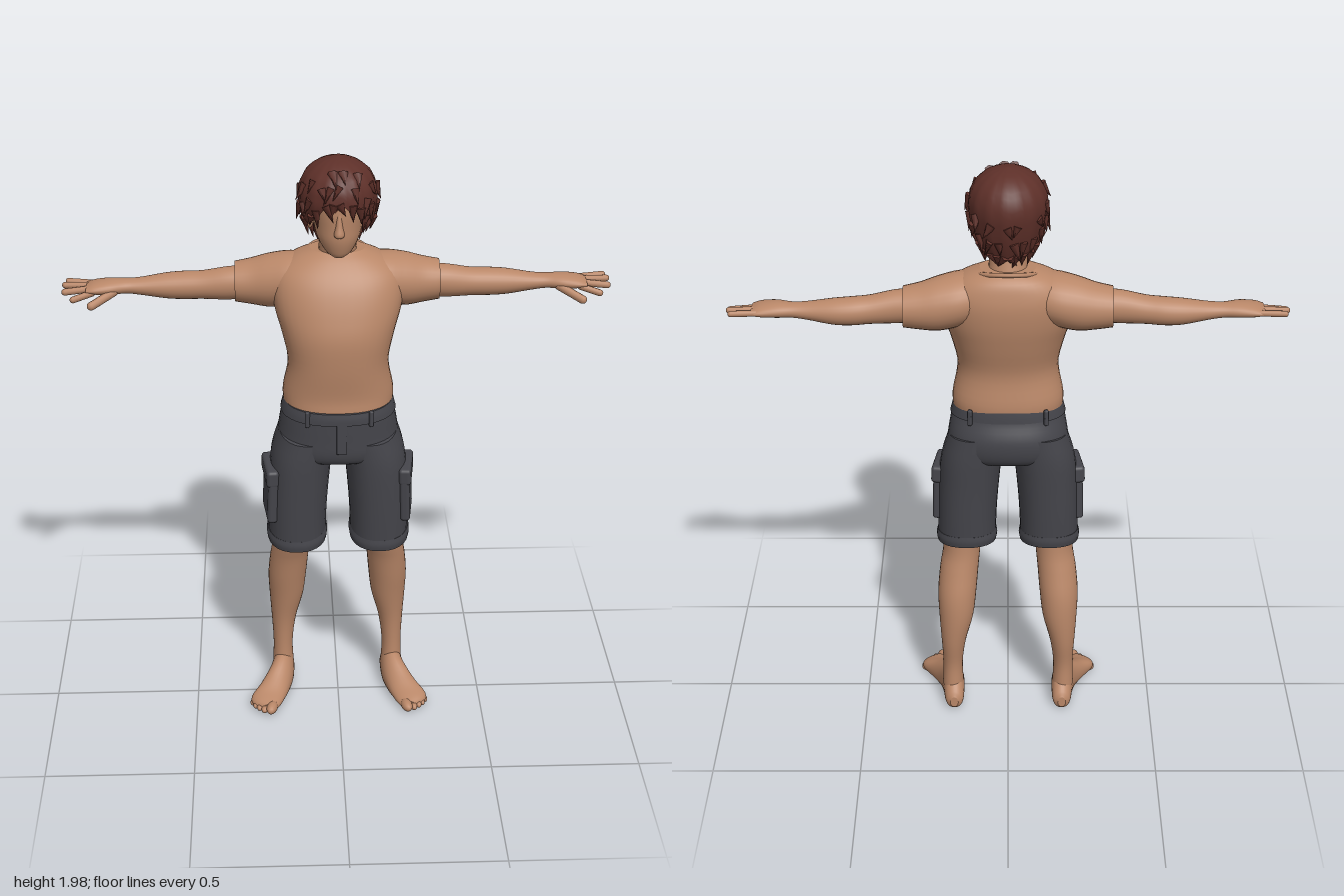
import * as THREE from 'three';
import { RoundedBoxGeometry } from 'three/addons/geometries/RoundedBoxGeometry.js';

const mat = (name, color) => {
  const m = new THREE.MeshStandardMaterial({ color, side: THREE.DoubleSide });
  m.name = name;
  return m;
};

// Smooth body through elliptic rings [t, a, b, ra, rb] along an axis:
// y: a=x b=z, x: a=y b=z, z: a=x b=y. Always wound outward.
const ORDER = { y: [1, 0, 2], x: [0, 1, 2], z: [2, 0, 1] };
function loft(rings, axis = 'y', { s = 1, n = 28, steps = 4, power = 1, bend = null } = {}) {
  const mid = new THREE.CatmullRomCurve3(rings.map(r => new THREE.Vector3(r[0], r[1], r[2])), false, 'catmullrom');
  const rad = new THREE.CatmullRomCurve3(rings.map(r => new THREE.Vector3(r[3], r[4], 0)), false, 'catmullrom');
  const o = ORDER[axis], pts = [], idx = [], m = (rings.length - 1) * steps;
  const sp = v => Math.sign(v) * Math.abs(v) ** power;
  const add = (t, a, b) => {
    const p = new THREE.Vector3();
    [t, a, b].forEach((v, k) => p.setComponent(o[k], v));
    if (bend) bend(p);
    p.x *= s;
    pts.push(p);
  };
  const ring = u => {
    const c = mid.getPoint(u), r = rad.getPoint(u);
    for (let j = 0; j < n; j++) {
      const q = j / n * Math.PI * 2;
      add(c.x, c.y + r.x * sp(Math.cos(q)), c.z + r.y * sp(Math.sin(q)));
    }
  };
  for (let i = 0; i <= m; i++) ring(i / m);
  for (let i = 0; i < m; i++) for (let j = 0; j < n; j++) {
    const a = i * n + j, b = i * n + (j + 1) % n;
    idx.push(a, b, a + n, b, b + n, a + n);
  }
  // Flat end caps
  for (const u of [0, 1]) {
    const base = pts.length, c = mid.getPoint(u);
    ring(u);
    add(c.x, c.y, c.z);
    for (let j = 0; j < n; j++) {
      const a = base + j, b = base + (j + 1) % n;
      idx.push(...(u ? [a, b, base + n] : [b, a, base + n]));
    }
  }
  let vol = 0;
  const x = new THREE.Vector3();
  for (let i = 0; i < idx.length; i += 3)
    vol += pts[idx[i]].dot(x.crossVectors(pts[idx[i + 1]], pts[idx[i + 2]]));
  if (vol < 0) idx.reverse();
  const g = new THREE.BufferGeometry().setFromPoints(pts);
  g.setIndex(idx);
  g.computeVertexNormals();
  return g;
}

const lerpTable = (table, v) => {
  for (let i = 1; i < table.length; i++) if (v <= table[i][0]) {
    const [a, p] = table[i - 1], [b, q] = table[i];
    return p + (q - p) * (v - a) / (b - a);
  }
  return table[table.length - 1][1];
};

export function createModel() {
  const skin = mat('skin', 0xb98768), cloth = mat('charcoal cloth', 0x45454b), hairMat = mat('auburn hair', 0x5e3029);
  const root = new THREE.Group();
  root.name = 'figure';
  const add = (name, geo, m, pos = [0, 0, 0], rot = [0, 0, 0], scale = [1, 1, 1]) => {
    const mesh = new THREE.Mesh(geo, m);
    mesh.name = name;
    mesh.position.set(...pos);
    mesh.rotation.set(...rot);
    mesh.scale.set(...scale);
    root.add(mesh);
    return mesh;
  };
  const ball = new THREE.SphereGeometry(1, 16, 12);

  // Torso, collar and neck
  add('torso', loft([
    [1.15, 0, 0, .182, .133], [1.2, 0, -.002, .183, .133], [1.3, 0, .01, .166, .134], [1.4, 0, 0, .185, .148],
    [1.48, 0, -.018, .208, .148], [1.55, 0, -.034, .215, .138], [1.6, 0, -.045, .2, .12],
    [1.64, 0, -.055, .15, .095], [1.665, 0, -.055, .09, .065]], 'y', { n: 40, power: .88 }), skin);
  const collar = [];
  for (let i = 0; i < 24; i++) {
    const q = i / 24 * Math.PI * 2, f = Math.sin(q);
    collar.push(new THREE.Vector3(.108 * Math.cos(q), 1.637 - .03 * f, -.04 + .092 * f));
  }
  add('collar', new THREE.TubeGeometry(new THREE.CatmullRomCurve3(collar, true), 48, .008, 6, true), skin);
  add('neck', loft([[1.6, 0, -.06, .075, .07], [1.66, 0, -.045, .062, .062], [1.75, 0, -.02, .06, .062]]), skin);

  // Head with nose and ears
  add('head', loft([
    [1.678, 0, .07, .018, .02], [1.695, 0, .058, .042, .042], [1.735, 0, .028, .068, .084], [1.78, 0, .005, .08, .11],
    [1.84, 0, -.005, .09, .122], [1.9, 0, -.01, .092, .118], [1.945, 0, -.01, .068, .085], [1.965, 0, -.01, .02, .03]]), skin);
  add('nose', loft([[1.752, 0, .112, .006, .006], [1.762, 0, .112, .017, .021], [1.79, 0, .11, .012, .016], [1.83, 0, .108, .008, .01]], 'y', { n: 12 }), skin);

  // Hair cap with a hairline that drops from forehead to nape
  const hairline = [[0, 1.855], [.5, 1.845], [.95, 1.79], [1.45, 1.775], [1.75, 1.765], [2.3, 1.715], [3.15, 1.705]];
  const girth = [[1.69, .64], [1.75, .83], [1.8, .93], [1.86, 1], [1.9, .96], [1.935, .82], [1.96, .6], [1.975, .36], [1.983, 0]];
  const hairPoint = (a, y, k = 1) => {
    const r = lerpTable(girth, y) * k;
    return new THREE.Vector3(.127 * r * Math.sin(a), y, -.01 + .143 * r * Math.cos(a));
  };
  const N = 60, M = 16, hp = [], hi = [];
  for (let i = 0; i <= M; i++) for (let j = 0; j < N; j++) {
    const a = j / N * Math.PI * 2, b = Math.min(a, Math.PI * 2 - a);
    const low = lerpTable(hairline, b) + .012 * Math.sin(a * 15);
    hp.push(hairPoint(a, low + (1.983 - low) * Math.sin(i / M * Math.PI / 2), 1 + .012 * Math.sin(a * 15)));
  }
  for (let i = 0; i < M; i++) for (let j = 0; j < N; j++) {
    const a = i * N + j, b = i * N + (j + 1) % N;
    hi.push(a, b, a + N, b, b + N, a + N);
  }
  const cap = new THREE.BufferGeometry().setFromPoints(hp);
  cap.setIndex(hi);
  cap.computeVertexNormals();
  add('hairCap', cap, hairMat);

  // Pointed locks: [count, height above hairline, length, outward lean]
  let seed = 7;
  const rnd = () => (seed = (seed * 16807) % 2147483647) / 2147483647;
  const lockGeo = new THREE.ConeGeometry(1, 1, 6).translate(0, .5, 0);
  const up = new THREE.Vector3(0, 1, 0);
  for (const [count, lift, length, lean] of [[26, .015, .05, .1], [20, .065, .055, .3], [13, .125, .05, .5]])
    for (let i = 0; i < count; i++) {
      const a = (i + rnd() * .6) / count * Math.PI * 2, b = Math.min(a, Math.PI * 2 - a);
      const y = Math.min(lerpTable(hairline, b) + lift, 1.955);
      const p = hairPoint(a, y, .96), q = hairPoint(a + (rnd() - .5) * .5, Math.max(y - .05, 1.69), 1);
      const out = new THREE.Vector3(Math.sin(a), 0, Math.cos(a));
      const dir = q.sub(p).normalize().addScaledVector(out, lean * (.4 + rnd() * .6)).normalize();
      const lock = add('hairLock', lockGeo, hairMat, p.toArray(), [0, 0, 0], [.018, length * (.8 + rnd() * .5), .014]);
      lock.quaternion.setFromUnitVectors(up, dir);
    }

  // Shorts: hips, waistband, fly
  const tilt = k => p => { p.y -= p.z * k; };
  add('shortsHips', loft([
    [1.155, 0, .003, .178, .135], [1.12, 0, 0, .188, .137], [1.06, 0, -.012, .199, .147],
    [1, 0, -.012, .205, .143], [.965, 0, -.01, .19, .12], [.945, 0, -.01, .06, .06]], 'y', { n: 40, power: .88, bend: tilt(.1) }), cloth);
  add('waistband', loft([[1.165, 0, .003, .181, .138], [1.145, 0, .003, .187, .141], [1.125, 0, .002, .192, .142]],
    'y', { n: 40, power: .88, bend: tilt(.1) }), cloth);
  add('fly', new RoundedBoxGeometry(.035, .11, .008, 2, .003), cloth, [.008, 1.06, .136]);

  for (const s of [1, -1]) {
    // Shorts leg, hem cuff, side pocket with flap, belt loops
    add('shortsLeg', loft([
      [1.05, .1, -.01, .098, .135], [.96, .122, -.01, .103, .134], [.85, .133, -.01, .102, .127],
      [.74, .139, -.011, .1, .12], [.64, .141, -.012, .099, .113]], 'y', { s, power: .88, bend: tilt(.17) }), cloth);
    add('shortsHem', loft([[.675, .141, -.012, .1, .116], [.655, .141, -.012, .104, .118], [.635, .141, -.012, .101, .115]],
      'y', { s, power: .88, bend: tilt(.17) }), cloth);
    add('sidePocket', new RoundedBoxGeometry(.034, .19, .145, 3, .012), cloth, [s * .23, .82, .02], [.06, -s * .12, s * .03]);
    add('pocketFlap', new RoundedBoxGeometry(.042, .06, .155, 3, .012), cloth, [s * .23, .895, .02], [.06, -s * .12, s * .03]);
    for (const [x, z] of [[.105, .128], [.125, -.122]])
      add('beltLoop', new RoundedBoxGeometry(.014, .055, .016, 2, .004), cloth, [s * x, 1.143 - z * .1, z], [0, s * Math.sign(z) * .4, 0]);

    // Lower leg
    add('leg', loft([
      [.75, .155, -.02, .07, .08], [.62, .158, -.025, .064, .076], [.54, .168, -.045, .066, .072], [.45, .176, -.066, .066, .073],
      [.36, .18, -.079, .059, .066], [.26, .19, -.085, .043, .053], [.16, .194, -.08, .034, .042], [.07, .194, -.08, .037, .046]], 'y', { s }), skin);

    // Foot, turned outward, with a flat sole
    add('foot', loft([
      [-.152, .19, .03, .014, .02], [-.135, .19, .035, .031, .04], [-.08, .193, .05, .038, .075], [-.02, .203, .045, .044, .07],
      [.04, .228, .03, .053, .048], [.085, .25, .022, .059, .032], [.12, .253, .018, .048, .023], [.145, .245, .016, .024, .016]],
      'z', { s, bend: p => { p.y = Math.max(p.y, .003); } }), skin);
    [[.237, .146, .019], [.261, .142, .013], [.278, .128, .012], [.291, .113, .012], [.302, .094, .011]].forEach(([x, z, r]) =>
      add('toe', ball, skin, [s * x, r, z], [0, s * .25, 0], [r, r, r * 1.75]));

    // Sleeve and arm down to the palm
    add('sleeve', loft([
      [.07, 1.57, -.05, .07, .085], [.15, 1.558, -.06, .087, .102], [.22, 1.546, -.072, .088, .093],
      [.28, 1.54, -.08, .076, .08], [.335, 1.538, -.083, .066, .071]], 'x', { s }), skin);
    add('arm', loft([
      [.28, 1.54, -.075, .055, .055], [.36, 1.535, -.075, .055, .051], [.44, 1.528, -.082, .047, .048], [.5, 1.525, -.088, .046, .049],
      [.56, 1.524, -.089, .042, .046], [.64, 1.525, -.085, .029, .036], [.69, 1.527, -.083, .024, .034],
      [.74, 1.528, -.078, .025, .045], [.79, 1.527, -.076, .02, .05], [.82, 1.525, -.077, .011, .046]], 'x', { s }), skin);

    // Fingers and thumb: [root], [tip], radius
    for (const [a, b, r] of [
      [[.8, 1.519, -.04], [.862, 1.5, -.03], .011], [[.8, 1.525, -.064], [.89, 1.516, -.06], .0115],
      [[.8, 1.528, -.088], [.89, 1.528, -.092], .011], [[.795, 1.527, -.112], [.882, 1.53, -.124], .01],
      [[.73, 1.518, -.05], [.802, 1.488, -.002], .014]]) {
      const A = new THREE.Vector3(s * a[0], a[1], a[2]), B = new THREE.Vector3(s * b[0], b[1], b[2]);
      const d = B.clone().sub(A), f = add('finger', new THREE.CapsuleGeometry(r, d.length(), 4, 10), skin, A.add(B).multiplyScalar(.5).toArray());
      f.quaternion.setFromUnitVectors(up, d.normalize());
    }
    add('ear', ball, skin, [s * .09, 1.775, -.012], [0, s * .3, 0], [.012, .03, .02]);
  }
  return root;
}
